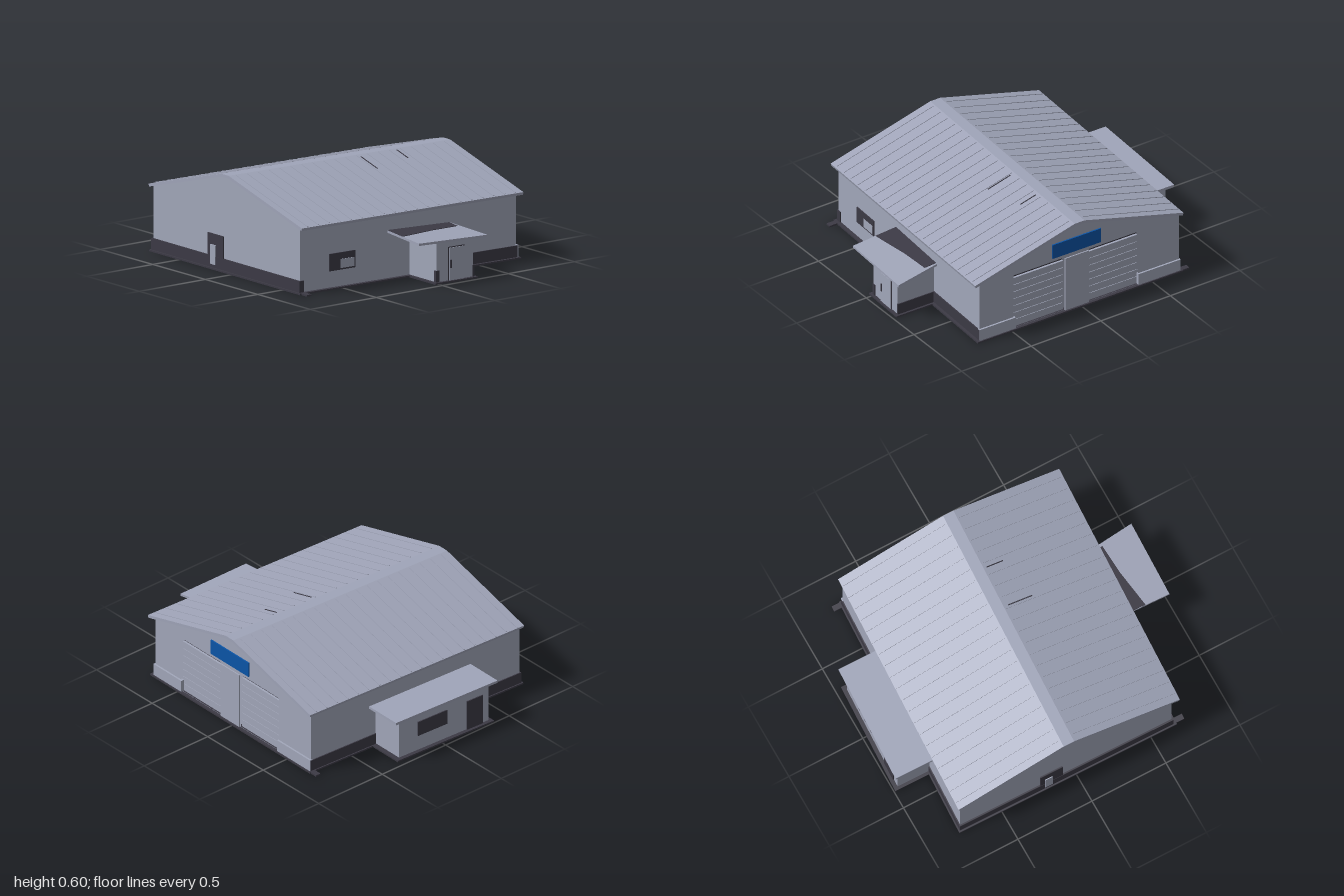
import * as THREE from 'three';

const mat = (name, color) => {
  const m = new THREE.MeshStandardMaterial({ color });
  m.name = name;
  return m;
};

export function createModel() {
  const root = new THREE.Group();
  root.name = 'warehouse';
  const wall = mat('wallGrey', 0xa2a7ba);
  const roofMat = mat('roofGrey', 0xa0a5b9);
  const dark = mat('darkGrey', 0x3c3a45);
  const blue = mat('signBlue', 0x0b55a8);

  // the whole building stands slightly askew
  const skew = new THREE.Matrix4().set(
    1, 0, -0.013, 0,
    0, 1, 0, 0,
    0.045, 0, 1, 0,
    0, 0, 0, 1);

  const add = (name, material, geo) => {
    geo.applyMatrix4(skew);
    const mesh = new THREE.Mesh(geo, material);
    mesh.name = name;
    root.add(mesh);
    return mesh;
  };
  const box = (name, m, x0, x1, y0, y1, z0, z1) =>
    add(name, m, new THREE.BoxGeometry(x1 - x0, y1 - y0, z1 - z0)
      .translate((x0 + x1) / 2, (y0 + y1) / 2, (z0 + z1) / 2));

  // extrude a [z, y] profile along x
  const pts = (list) => list.map(([z, y]) => new THREE.Vector2(-z, y));
  const alongX = (name, m, profile, x0, x1, holes = []) => {
    const shape = new THREE.Shape(pts(profile));
    holes.forEach((h) => shape.holes.push(new THREE.Path(pts(h))));
    const geo = new THREE.ExtrudeGeometry(shape, { depth: x1 - x0, bevelEnabled: false });
    add(name, m, geo.rotateY(Math.PI / 2).translate(x0, 0, 0));
  };

  // floor slabs with two corner tabs
  box('floorSlab', dark, -0.81, 0.81, 0, 0.01, -0.75, 0.71);
  box('backAnnexSlab', dark, -0.4, 0.33, 0, 0.01, -0.975, -0.74);
  box('porchSlab', dark, -0.01, 0.3, 0, 0.01, 0.7, 0.965);
  box('slabTab', dark, -0.8, -0.765, 0, 0.01, 0.7, 0.765);
  box('slabTab', dark, 0.77, 0.805, 0, 0.01, -0.8, -0.74);

  // main hall, with a gable wall pierced by two garage openings
  const gable = [[0.685, 0.008], [0.685, 0.402], [0.02, 0.585], [-0.05, 0.585], [-0.735, 0.4], [-0.735, 0.008]];
  const doors = [[0.085, 0.445], [-0.445, -0.095]];
  const opening = ([a, b]) => [[a, 0.012], [b, 0.012], [b, 0.375], [a, 0.375]];
  alongX('hallWalls', wall, gable, -0.79, 0.765);
  alongX('garageGable', wall, gable, 0.765, 0.79, doors.map(opening));

  // garage doors: slats below a dark gap
  for (const [a, b] of doors) {
    box('garageDoorGap', dark, 0.764, 0.769, 0.352, 0.375, a, b);
    const n = 7, h = 0.34 / n;
    for (let i = 0; i < n; i++) {
      box('garageDoorSlat', wall, 0.762, 0.78, 0.012 + i * h, 0.012 + (i + 1) * h - 0.003, a, b);
    }
  }
  box('doorPillar', wall, 0.785, 0.798, 0.008, 0.37, -0.09, 0.08);
  box('sign', blue, 0.79, 0.799, 0.4, 0.495, -0.175, 0.17);

  // plinths
  box('sidePlinth', wall, 0.78, 0.802, 0.008, 0.085, 0.435, 0.69);
  box('sidePlinth', wall, 0.78, 0.802, 0.008, 0.085, -0.74, -0.44);
  box('frontPlinth', dark, 0.27, 0.795, 0.005, 0.08, 0.68, 0.692);
  box('cornerPlinth', dark, -0.8, -0.765, 0.005, 0.08, 0.66, 0.692);
  box('leftPlinth', dark, -0.8, -0.785, 0.005, 0.08, -0.742, 0.692);
  box('backPlinth', dark, -0.795, -0.38, 0.005, 0.08, -0.742, -0.73);
  box('backPlinth', dark, 0.3, 0.795, 0.005, 0.08, -0.742, -0.73);

  // roof shell with a flat ridge
  alongX('roof', roofMat, [
    [0.73, 0.41], [0.02, 0.6], [-0.05, 0.6], [-0.755, 0.41],
    [-0.75, 0.393], [-0.05, 0.582], [0.02, 0.582], [0.725, 0.393],
  ], -0.81, 0.81);

  // sheet seams running down both slopes
  const slope = Math.atan2(0.19, 0.71);
  const strip = (name, m, x, width, side, from, to) => {
    const len = (to - from) / Math.cos(slope);
    const mid = (from + to) / 2;
    const z = side > 0 ? 0.02 + mid : -0.05 - mid;
    add(name, m, new THREE.BoxGeometry(width, 0.004, len)
      .rotateX(side * slope)
      .translate(x, 0.601 - mid * Math.tan(slope), z));
  };
  for (let i = 0; i < 20; i++) {
    const x = -0.76 + i * 0.08;
    for (const side of [1, -1]) strip('roofSeam', roofMat, x, 0.008, side, 0.01, 0.7);
  }
  strip('roofSlit', dark, 0.135, 0.006, 1, 0.03, 0.19);
  strip('roofSlit', dark, 0.405, 0.006, 1, 0.02, 0.13);

  // front window
  box('frontWindow', dark, -0.58, -0.39, 0.11, 0.215, 0.684, 0.691);
  box('frontWindowPane', wall, -0.5, -0.4, 0.12, 0.175, 0.686, 0.694);

  // entrance porch
  box('porchWalls', wall, 0.01, 0.28, 0.008, 0.26, 0.68, 0.945);
  box('porchPlinth', dark, 0.275, 0.286, 0.005, 0.08, 0.68, 0.947);
  box('porchCorner', dark, 0.005, 0.03, 0.005, 0.08, 0.93, 0.951);
  box('porchDoorFrame', dark, 0.095, 0.215, 0.008, 0.214, 0.94, 0.948);
  box('porchDoor', wall, 0.1, 0.21, 0.008, 0.208, 0.942, 0.952);
  box('porchDoorHandle', dark, 0.105, 0.117, 0.085, 0.135, 0.95, 0.957);

  // porch roof, a tapering sheet with a dark flashing
  const sheet = (name, m, corners, y0, thickness, tilt) => {
    const shape = new THREE.Shape(corners.map(([x, z]) => new THREE.Vector2(x, -z)));
    const geo = new THREE.ExtrudeGeometry(shape, { depth: thickness, bevelEnabled: false });
    geo.rotateX(-Math.PI / 2);
    const p = geo.attributes.position;
    for (let i = 0; i < p.count; i++) p.setY(i, p.getY(i) + y0 + tilt * (0.985 - p.getZ(i)) - 0.03 * p.getX(i));
    geo.computeVertexNormals();
    add(name, m, geo);
  };
  sheet('porchRoof', roofMat, [[-0.15, 0.99], [0.352, 0.985], [0.31, 0.68], [-0.15, 0.68]], 0.257, 0.014, 0.08);
  sheet('porchFlashing', dark, [[-0.148, 0.83], [0.1, 0.785], [0.3, 0.765], [0.3, 0.685], [-0.148, 0.685]], 0.271, 0.003, 0.08);

  // back annex
  box('annexWalls', wall, -0.38, 0.3, 0.008, 0.272, -0.95, -0.72);
  box('annexRoof', roofMat, -0.42, 0.348, 0.268, 0.284, -0.982, -0.72);
  box('annexWindow', dark, -0.06, 0.16, 0.11, 0.205, -0.957, -0.949);
  box('annexDoor', dark, -0.33, -0.21, 0.01, 0.205, -0.957, -0.949);

  // side door
  box('sideDoor', dark, -0.798, -0.789, 0.01, 0.215, -0.2, -0.05);
  box('sideDoorPanel', wall, -0.804, -0.796, 0.03, 0.15, -0.17, -0.12);

  return root;
}
